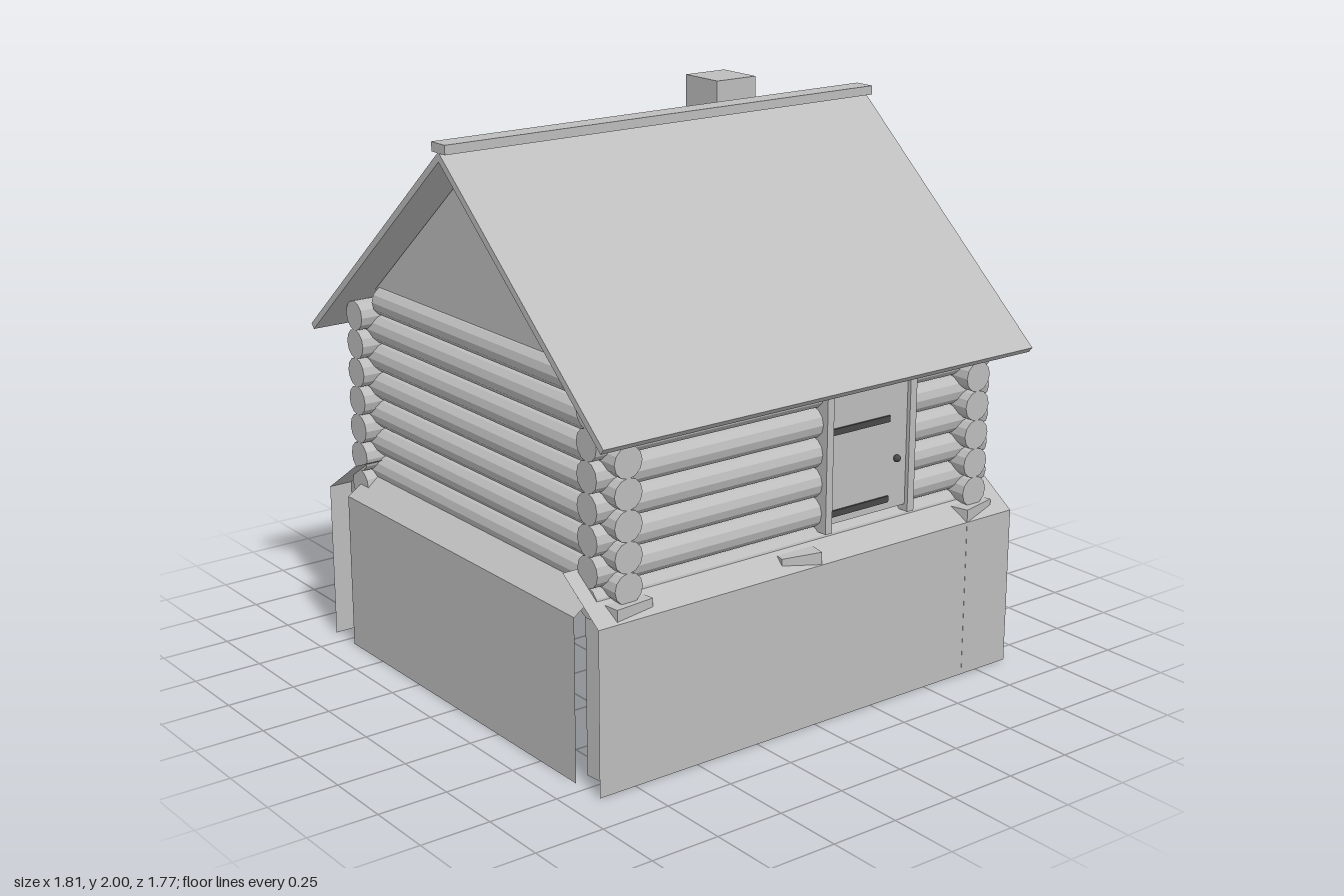
import * as THREE from 'three';

const grey = new THREE.MeshStandardMaterial({ color: 0xbdbdbd, flatShading: true });
grey.name = 'plain grey';
const sheetGrey = new THREE.MeshStandardMaterial({ color: 0xbdbdbd, flatShading: true, side: THREE.DoubleSide });
sheetGrey.name = 'sheet grey';
const dark = new THREE.MeshStandardMaterial({ color: 0x484848 });
dark.name = 'dark iron';

const add = (parent, name, geometry, material = grey) => {
  const mesh = new THREE.Mesh(geometry, material);
  mesh.name = name;
  parent.add(mesh);
  return mesh;
};

// Box given by its lower and upper limits on each axis
const box = (parent, name, [x0, x1], [y0, y1], [z0, z1], material) => {
  const mesh = add(parent, name, new THREE.BoxGeometry(x1 - x0, y1 - y0, z1 - z0), material);
  mesh.position.set((x0 + x1) / 2, (y0 + y1) / 2, (z0 + z1) / 2);
  return mesh;
};

// Profile of [z, y] points extruded along x, centred on x = 0
const alongX = (points, length) => {
  const shape = new THREE.Shape(points.map(([z, y]) => new THREE.Vector2(z, y)));
  const geometry = new THREE.ExtrudeGeometry(shape, { depth: length, bevelEnabled: false });
  return geometry.translate(0, 0, -length / 2).rotateY(-Math.PI / 2);
};

// Open skirting sheet: upright panel with its top leaning in to the wall
const skirtSheet = (out, inner, halfWidth) => {
  const profile = [[out, 0], [out, 0.57], [inner, 0.7]];
  const pos = [];
  for (let i = 0; i < 2; i++) {
    const [z0, y0] = profile[i], [z1, y1] = profile[i + 1], w = halfWidth;
    pos.push(-w, y0, z0, w, y0, z0, w, y1, z1, -w, y0, z0, w, y1, z1, -w, y1, z1);
  }
  const geometry = new THREE.BufferGeometry();
  geometry.setAttribute('position', new THREE.Float32BufferAttribute(pos, 3));
  geometry.computeVertexNormals();
  return geometry;
};

export function createModel() {
  const model = new THREE.Group();
  model.name = 'logCabin';

  // Skirting with open corners
  for (let i = 0; i < 4; i++) {
    const side = i % 2;
    const sheet = add(model, side ? 'sideSkirt' : 'longSkirt',
      side ? skirtSheet(0.89, 0.7, 0.7) : skirtSheet(0.83, 0.64, 0.89), sheetGrey);
    sheet.rotation.y = i * Math.PI / 2;
  }

  // Square foundation posts, a little askew
  const posts = [[-0.745, 0.74], [-0.04, 0.74], [0.735, 0.74], [0.7, 0],
    [-0.745, -0.74], [0.04, -0.74], [0.735, -0.74]];
  posts.forEach(([x, z], i) => {
    const post = box(model, 'foundationPost', [-0.075, 0.075], [0, 0.615], [-0.075, 0.075]);
    post.position.x = x;
    post.position.z = z;
    post.rotation.y = [0.1, -0.2, 0.24][i % 3];
  });

  // Interlocking log walls, side logs half a step below the long ones
  const walls = new THREE.Group();
  walls.name = 'logWalls';
  model.add(walls);
  const log = (name, length) => new THREE.CylinderGeometry(0.054, 0.054, length, 12);
  for (const s of [-1, 1]) {
    for (let k = 0; k < 7; k++) {
      const long = add(walls, 'longLog', log('long', 1.675).rotateZ(Math.PI / 2));
      long.position.set(0, 0.606 + 0.104 * k, s * 0.7);
      const length = k === 6 ? 1.28 : k === 5 ? 1.5 : 1.585;
      const cross = add(walls, 'sideLog', log('side', length).rotateX(Math.PI / 2));
      cross.position.set(s * 0.745, 0.66 + 0.104 * k, 0);
    }
    // Gable
    const gable = add(model, 'gable', alongX([[-0.67, 1.32], [0.67, 1.32], [0, 1.89]], 0.03));
    gable.position.x = s * 0.75;
  }

  // Roof slabs and ridge board
  add(model, 'roof', alongX([[-0.885, 1.173], [-0.87, 1.155], [0, 1.9], [0.87, 1.155],
    [0.885, 1.173], [0, 1.932]], 1.81));
  box(model, 'ridgeBoard', [-0.905, 0.905], [1.928, 1.96], [-0.04, 0.04]);
  box(model, 'chimney', [0.375, 0.55], [1.55, 2], [-0.37, -0.19]);

  // Door with frame, strap hinges and knob
  const door = new THREE.Group();
  door.name = 'door';
  model.add(door);
  box(door, 'doorPanel', [0.105, 0.447], [0.67, 1.135], [0.68, 0.76]);
  box(door, 'doorPost', [0.078, 0.106], [0.645, 1.15], [0.68, 0.775]);
  box(door, 'doorPost', [0.446, 0.475], [0.645, 1.15], [0.68, 0.775]);
  box(door, 'doorLintel', [0.078, 0.475], [1.135, 1.165], [0.68, 0.775]);
  for (const y of [0.707, 0.993]) {
    box(door, 'hinge', [0.112, 0.365], [y - 0.011, y + 0.011], [0.76, 0.767], dark);
  }
  const knob = add(door, 'knob', new THREE.SphereGeometry(0.013, 12, 8), dark);
  knob.position.set(0.395, 0.848, 0.772);

  // Side window with four panes
  const win = new THREE.Group();
  win.name = 'window';
  model.add(win);
  box(win, 'windowPane', [0.797, 0.802], [0.93, 1.04], [-0.24, -0.045], dark);
  box(win, 'windowHeader', [0.74, 0.82], [1.038, 1.1], [-0.3, 0.02]);
  for (const z of [-0.263, -0.025]) {
    box(win, 'windowJamb', [0.74, 0.815], [0.92, 1.038], [z - 0.023, z + 0.02]);
  }
  box(win, 'windowRail', [0.74, 0.815], [0.918, 0.934], [-0.25, -0.035]);
  box(win, 'windowSill', [0.74, 0.857], [0.902, 0.918], [-0.315, 0.035]);
  box(win, 'uprightBar', [0.8, 0.81], [0.93, 1.04], [-0.149, -0.137]);
  box(win, 'crossBar', [0.8, 0.81], [0.986, 1.002], [-0.24, -0.045]);

  return model;
}
